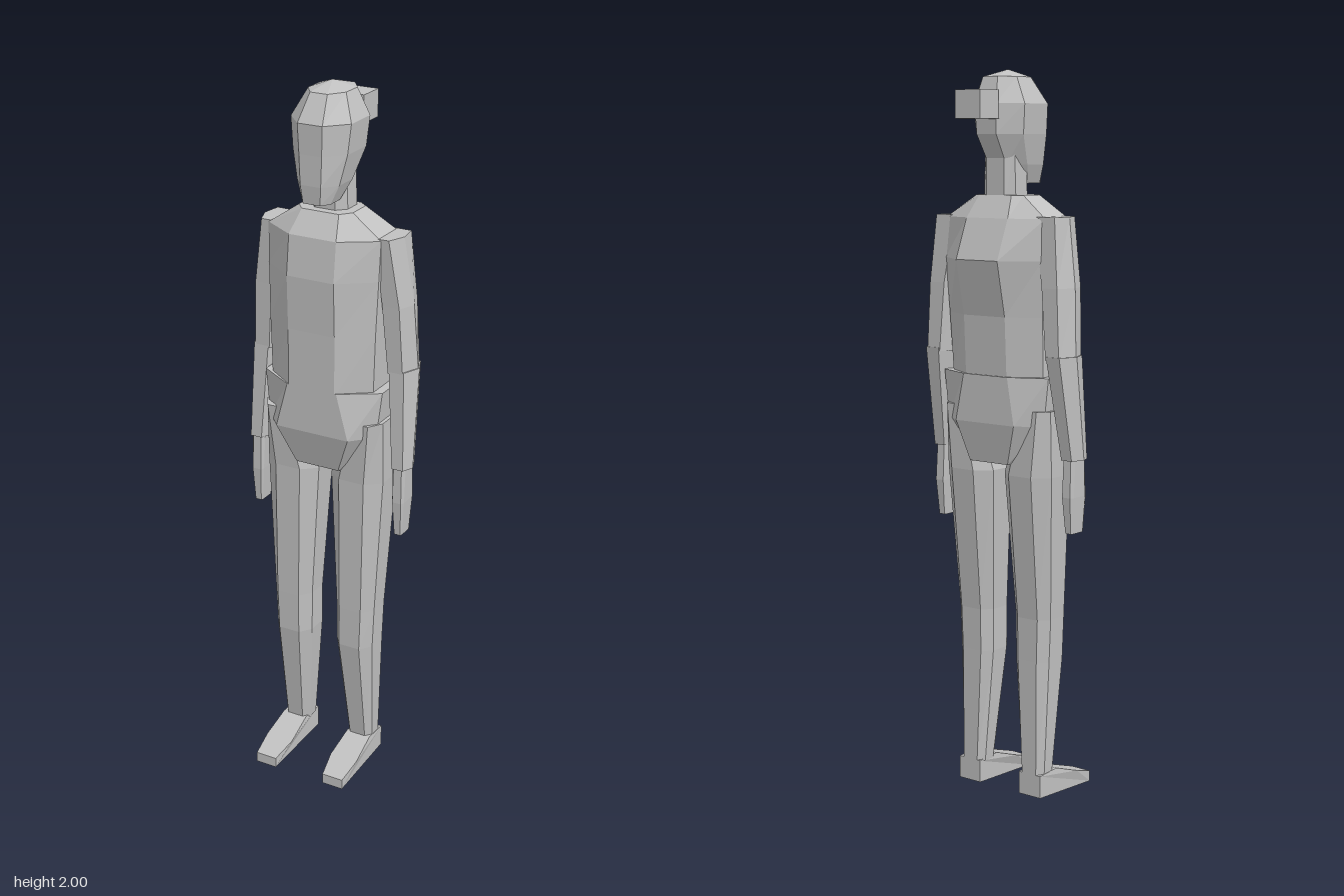
import * as THREE from 'three';

// Cross-section symmetric about x = cx: half widths front/side/back, depths front/side front/side back/back.
function ring(y, cx, [wf, ws, wb], [zf, zsf, zsb, zb]) {
  const half = [[wf, zf], [ws, zsf], [ws, zsb], [wb, zb]];
  if (zsf === zsb) half.splice(2, 1); // pointed sides give a hexagon
  const left = half.map(([x, z]) => [cx + x, y, z]);
  const right = half.map(([x, z]) => [cx - x, y, z]).reverse();
  return [...left, ...right];
}

// Closed faceted skin over rings listed from bottom to top.
function loft(rings) {
  const pos = [];
  const tri = (a, b, c) => pos.push(...a, ...b, ...c);
  const n = rings[0].length;
  for (let r = 0; r < rings.length - 1; r++) {
    for (let i = 0; i < n; i++) {
      const j = (i + 1) % n, lo = rings[r], hi = rings[r + 1];
      tri(lo[i], lo[j], hi[j]);
      tri(lo[i], hi[j], hi[i]);
    }
  }
  const mid = (ring) => [0, 1, 2].map((k) => ring.reduce((s, p) => s + p[k], 0) / n);
  const bottom = rings[0], top = rings[rings.length - 1];
  for (let i = 0; i < n; i++) {
    const j = (i + 1) % n;
    tri(bottom[j], bottom[i], mid(bottom));
    tri(top[i], top[j], mid(top));
  }
  const geo = new THREE.BufferGeometry();
  geo.setAttribute('position', new THREE.Float32BufferAttribute(pos, 3));
  geo.computeVertexNormals();
  return geo;
}

// Mirrors a ring across x = 0, keeping its winding.
const flip = (r) => r.map(([x, y, z]) => [-x, y, z]).reverse();

export function createModel() {
  const model = new THREE.Group();
  model.name = 'figure';
  const grey = new THREE.MeshStandardMaterial({ color: 0xc0c0c0, flatShading: true });
  grey.name = 'grey';
  const add = (name, geo) => {
    const mesh = new THREE.Mesh(geo, grey);
    mesh.name = name;
    model.add(mesh);
    return mesh;
  };
  const pair = (name, rings) => {
    add(name + 'Left', loft(rings));
    add(name + 'Right', loft(rings.map(flip)));
  };

  // Torso with broad shoulders
  add('torso', loft([
    ring(1.18, 0, [0.07, 0.155, 0.07], [0.1, 0.04, -0.06, -0.11]),
    ring(1.35, 0, [0.07, 0.16, 0.07], [0.1, 0.04, -0.07, -0.118]),
    ring(1.5, 0, [0.07, 0.165, 0.07], [0.105, 0.035, -0.08, -0.15]),
    ring(1.61, 0, [0.07, 0.168, 0.07], [0.092, 0.03, -0.07, -0.105]),
    ring(1.67, 0, [0.055, 0.08, 0.055], [0.05, 0.02, -0.05, -0.07]),
  ]));

  // Pelvis
  add('pelvis', loft([
    ring(0.95, 0, [0.065, 0.085, 0.065], [0.07, 0.03, -0.06, -0.1]),
    ring(1.06, 0, [0.11, 0.165, 0.1], [0.1, 0.04, -0.07, -0.118]),
    ring(1.19, 0, [0.075, 0.18, 0.075], [0.1, 0.035, -0.07, -0.115]),
  ]));

  // Neck
  add('neck', loft([
    ring(1.64, 0, [0.03, 0.055, 0.03], [0.025, 0, -0.05, -0.07]),
    ring(1.8, 0, [0.03, 0.05, 0.03], [0.025, 0, -0.05, -0.07]),
  ]));

  // Head, rising from chin to a shallow crown
  add('head', loft([
    ring(1.7, 0, [0.025, 0.042, 0.03], [0.095, 0.07, 0.02, -0.01]),
    ring(1.75, 0, [0.03, 0.062, 0.03], [0.1, 0.06, -0.01, -0.06]),
    ring(1.83, 0, [0.033, 0.08, 0.033], [0.1, 0.05, -0.05, -0.107]),
    ring(1.91, 0, [0.036, 0.088, 0.036], [0.102, 0.045, -0.055, -0.112]),
    ring(1.98, 0, [0.025, 0.055, 0.025], [0.056, 0.013, -0.047, -0.09]),
    ring(2.0, 0, [0.001, 0.002, 0.001], [-0.013, -0.014, -0.016, -0.017]),
  ]));

  // Tied-back hair
  add('hairBun', new THREE.BoxGeometry(0.084, 0.075, 0.078)).position.set(0, 1.907, -0.146);

  // Arms
  pair('upperArm', [
    ring(1.24, 0.205, [0.022, 0.043, 0.022], [0.012, -0.04, -0.04, -0.088]),
    ring(1.43, 0.193, [0.025, 0.044, 0.025], [0.02, -0.03, -0.03, -0.085]),
    ring(1.615, 0.17, [0.02, 0.04, 0.032], [0.03, -0.02, -0.02, -0.075]),
  ]);
  pair('forearm', [
    ring(0.97, 0.222, [0.017, 0.031, 0.017], [0.025, -0.008, -0.008, -0.045]),
    ring(1.25, 0.208, [0.022, 0.043, 0.022], [0.012, -0.04, -0.04, -0.09]),
  ]);
  pair('hand', [
    ring(0.77, 0.222, [0.009, 0.012, 0.009], [0.018, 0.012, -0.028, -0.036]),
    ring(0.87, 0.222, [0.013, 0.018, 0.013], [0.025, 0.015, -0.035, -0.046]),
    ring(0.98, 0.221, [0.012, 0.02, 0.012], [0.02, 0.01, -0.03, -0.04]),
  ]);

  // Legs
  pair('leg', [
    ring(0.075, 0.105, [0.024, 0.038, 0.024], [0.02, 0, -0.035, -0.055]),
    ring(0.4, 0.098, [0.032, 0.057, 0.032], [0.064, 0.03, -0.03, -0.055]),
    ring(0.52, 0.1, [0.034, 0.06, 0.034], [0.064, 0.03, -0.03, -0.056]),
    ring(0.92, 0.1, [0.038, 0.08, 0.038], [0.06, 0.025, -0.055, -0.092]),
    ring(1.1, 0.13, [0.025, 0.05, 0.025], [0.07, 0.03, -0.06, -0.09]),
  ]);

  // Feet: side outline extruded across x, then narrowed towards the toe
  const outline = new THREE.Shape([
    [-0.055, 0.015], [0.182, 0], [0.182, 0.03], [0.11, 0.052], [0.02, 0.083], [-0.055, 0.078],
  ].map(([z, y]) => new THREE.Vector2(-z, y)).reverse());
  for (const side of [1, -1]) {
    const geo = new THREE.ExtrudeGeometry(outline, { depth: 0.08, bevelEnabled: false });
    geo.translate(0, 0, -0.04).rotateY(Math.PI / 2);
    const p = geo.attributes.position;
    for (let i = 0; i < p.count; i++) {
      const z = p.getZ(i), narrow = z > 0.15 ? 0.8 : z > 0.05 ? 1.05 : 0.93;
      p.setX(i, side * (0.107 + 0.04 * Math.max(0, z - 0.1)) + p.getX(i) * narrow);
    }
    geo.computeVertexNormals();
    add(side > 0 ? 'footLeft' : 'footRight', geo);
  }
  return model;
}
